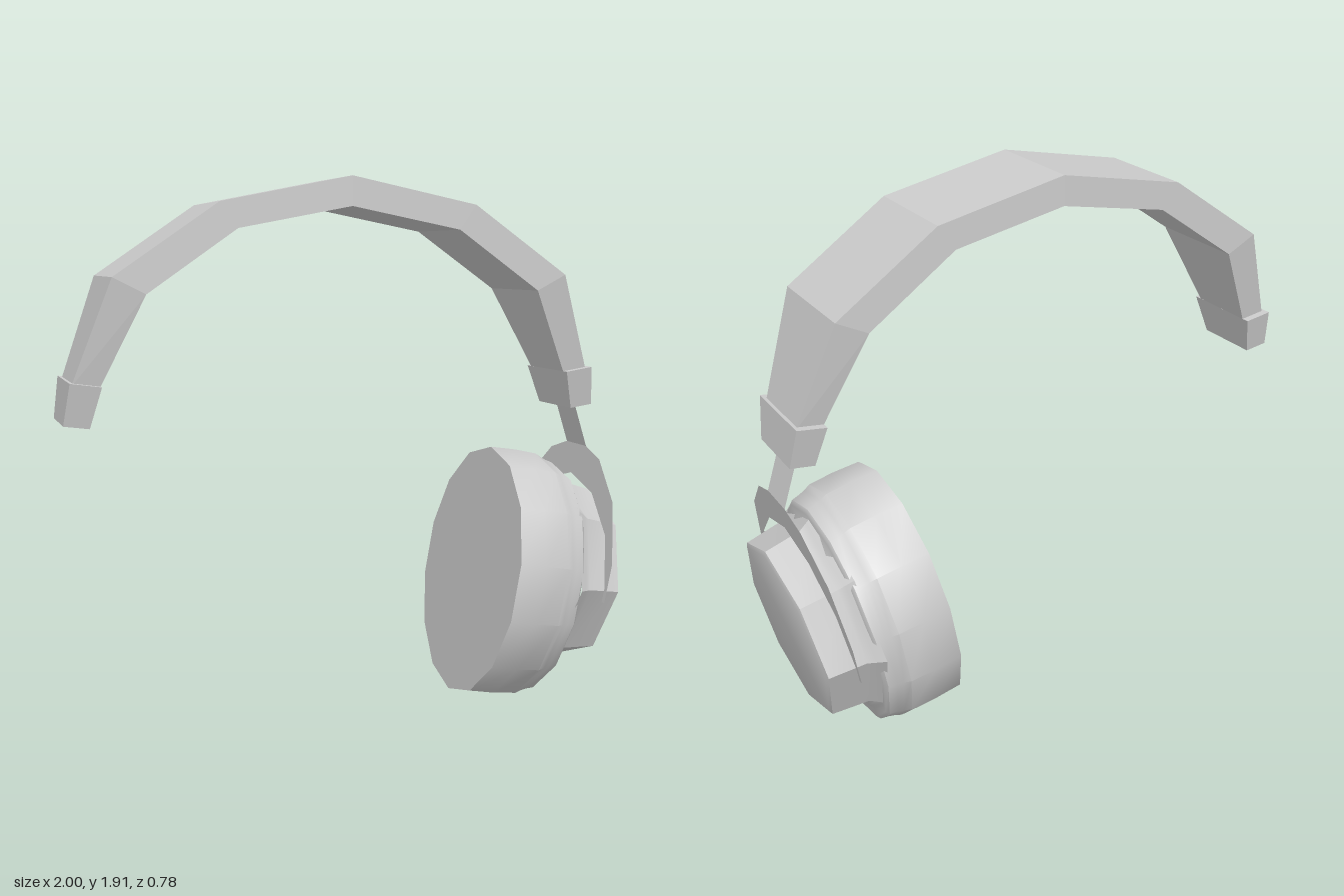
import * as THREE from 'three';
import { toCreasedNormals } from 'three/addons/utils/BufferGeometryUtils.js';

const grey = new THREE.MeshStandardMaterial({ color: 0xcccccc });
const thin = new THREE.MeshStandardMaterial({ color: 0xcccccc, side: THREE.DoubleSide });
const BAND_X = -0.035; // middle of the headband

function mesh(name, geometry, material = grey) {
  const m = new THREE.Mesh(geometry, material);
  m.name = name;
  return m;
}

// Flat-faced bar through sections [outer x, outer y, inner x, inner y, half depth]
function loft(sections) {
  const rings = sections.map(([ox, oy, ix, iy, h]) => [
    [ox + BAND_X, oy, h], [ox + BAND_X, oy, -h], [ix + BAND_X, iy, -h], [ix + BAND_X, iy, h],
  ]);
  const pos = [];
  const quad = (a, b, c, d) => pos.push(...a, ...b, ...c, ...a, ...c, ...d);
  for (let i = 0; i < rings.length - 1; i++) {
    for (let k = 0; k < 4; k++) {
      const n = (k + 1) % 4;
      quad(rings[i][k], rings[i][n], rings[i + 1][n], rings[i + 1][k]);
    }
  }
  const [a, b, c, d] = rings[0];
  quad(a, d, c, b);
  quad(...rings[rings.length - 1]);
  const g = new THREE.BufferGeometry();
  g.setAttribute('position', new THREE.Float32BufferAttribute(pos, 3));
  g.computeVertexNormals();
  return g;
}

const mirrored = (sections) => sections.map(([ox, oy, ix, iy, h]) => [-ox, oy, -ix, iy, h]).reverse();

// Turned body with few sides; profile is [radius, distance along axis]
function turned(profile, sides, crease) {
  const points = profile.map(([r, t]) => new THREE.Vector2(r, t));
  return toCreasedNormals(new THREE.LatheGeometry(points, sides, Math.PI / 2), crease);
}

// Thin plate drawn in depth and height, leaning sideways by xAt(y)
function plate(outline, xAt) {
  const shape = new THREE.Shape(outline.map(([z, y]) => new THREE.Vector2(z, y)));
  const g = new THREE.ShapeGeometry(shape).toNonIndexed();
  const p = g.attributes.position;
  for (let i = 0; i < p.count; i++) {
    const z = p.getX(i), y = p.getY(i);
    p.setXYZ(i, xAt(y), y, -z);
  }
  g.computeVertexNormals();
  return g;
}

export function createModel() {
  const model = new THREE.Group();
  model.name = 'headphones';

  // Faceted headband, tapering at both ends
  const half = [
    [0.935, 1.22, 0.845, 1.21, 0.122],
    [0.805, 1.57, 0.697, 1.515, 0.185],
    [0.453, 1.81, 0.393, 1.725, 0.185],
  ];
  model.add(mesh('headband', loft([...half, [0, 1.9, 0, 1.8, 0.185], ...mirrored(half)])));

  // Clasps at the band ends
  const clasp = [
    [0.963, 1.095, 0.878, 1.083, 0.12],
    [0.942, 1.235, 0.84, 1.22, 0.152],
  ];
  model.add(mesh('leftClasp', loft(clasp)));
  model.add(mesh('rightClasp', loft(mirrored(clasp))));

  // Yoke: a short stem and a forked arc leaning with the ear cup
  const yoke = new THREE.Group();
  yoke.name = 'yoke';
  const stem = [[-0.072, 0.93], [0.072, 0.93], [0.072, 1.12], [-0.072, 1.12]];
  yoke.add(mesh('yokeStem', plate(stem, (y) => 0.94 - (y - 0.93) * 0.33), thin));
  const outer = [[0.072, 0.93], [0.18, 0.895], [0.32, 0.76], [0.39, 0.55], [0.385, 0.41]];
  const inner = [[0.368, 0.41], [0.37, 0.46], [0.31, 0.64], [0.17, 0.77]];
  const side = [...outer, ...inner];
  const flip = side.map(([z, y]) => [-z, y]).reverse();
  yoke.add(mesh('yokeArc', plate([...side, [0, 0.82], ...flip], (y) => 0.94 + (y - 0.93) * 0.176), thin));
  model.add(yoke);

  // Ear cup, its axis tipped slightly downward
  const cup = new THREE.Group();
  cup.name = 'earCup';
  cup.position.set(0.5, 0.477, 0);
  cup.rotation.z = THREE.MathUtils.degToRad(-100);

  const cushion = mesh('cushion', turned([
    [0, 0], [1, 0], [1.005, 0.1], [0.995, 0.19], [0.97, 0.215], [0.955, 0.235],
    [0.94, 0.265], [0.91, 0.275], [0.84, 0.27], [0.8, 0.285], [0, 0.29],
  ], 14, 0.75));
  cushion.scale.set(0.465, 1, 0.39);
  cup.add(cushion);

  const hub = mesh('outerHousing', turned([
    [0.38, 0.255], [0.36, 0.285], [0.343, 0.31], [0.325, 0.44], [0.31, 0.447], [0, 0.447],
  ], 8, 0.6));
  hub.position.x = -0.03;
  hub.scale.z = 1.02;
  cup.add(hub);
  model.add(cup);

  return model;
}
